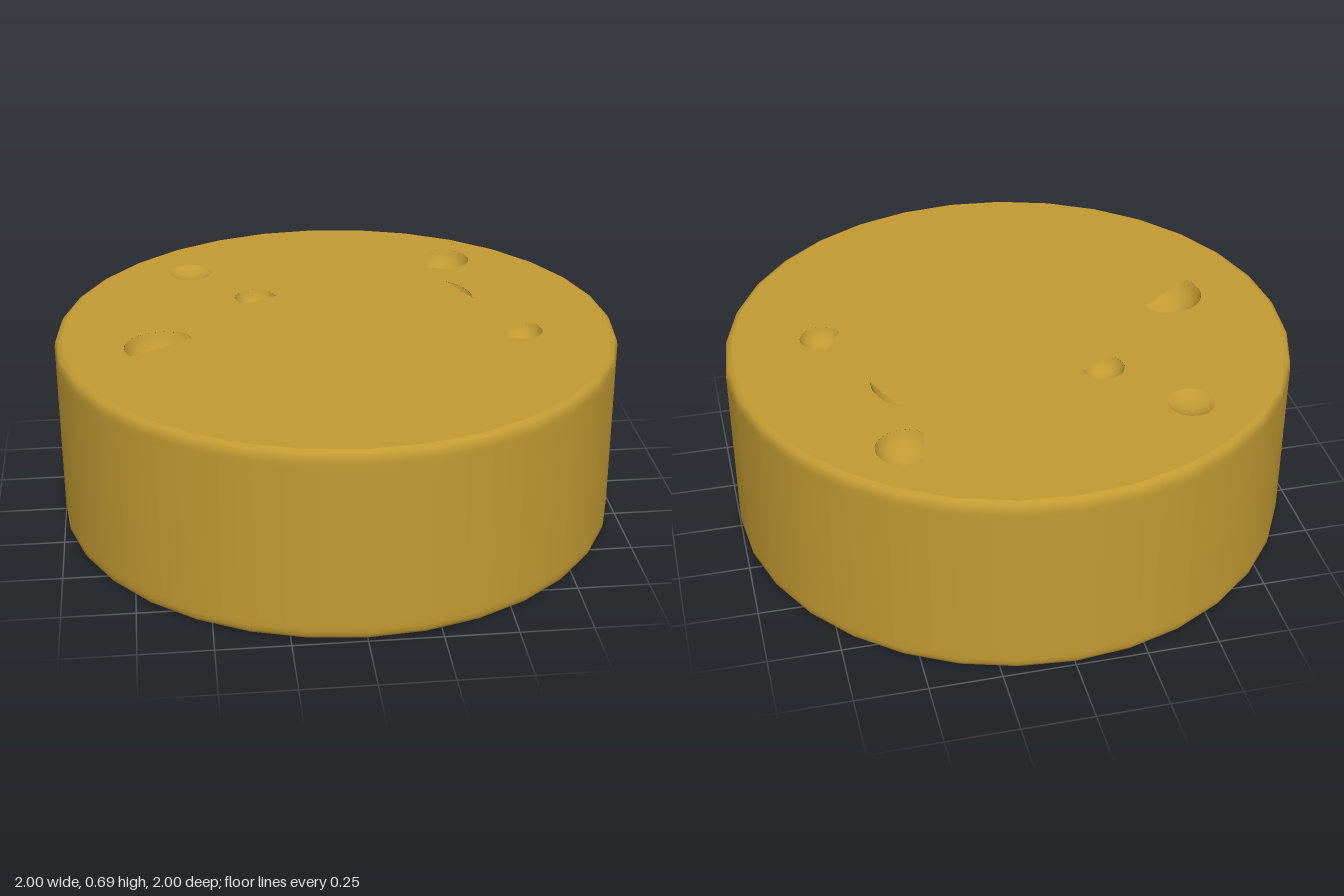
import * as THREE from 'three';

const H = 0.69;          // wheel height
const SIDES = 32;
const RIM = 0.975;       // radius of the flat faces
const rad = THREE.MathUtils.degToRad;

// Dents: x, z, radius, depth; open = arc in degrees left uncovered on the top
// (the rest is cut off by a straight edge), closed = not showing on the top.
const dents = [
  { x: 0.48, z: -0.60, r: 0.10, d: 0.08, open: [-113, 137] },
  { x: 0.34, z: -0.22, r: 0.19, d: 0.14, open: [-53, 6] },
  { x: 0.65, z: 0.115, r: 0.075, d: 0.06, open: [-98, 159] },
  { x: 0.02, z: -0.02, r: 0.034, d: 0.03, closed: true },
  { x: -0.27, z: -0.29, r: 0.075, d: 0.06, open: [129, 356] },
  { x: -0.50, z: -0.565, r: 0.08, d: 0.025 },
  { x: -0.625, z: 0.125, r: 0.13, d: 0.10, open: [144, 329] },
  { x: 0.26, z: 0.57, r: 0.10, d: 0.08, closed: true },
  { x: -0.27, z: 0.445, r: 0.062, d: 0.05, closed: true },
];

// Points of an arc in the x-z plane, flipped to the drawing plane of a face
function arc(x, z, r, from, to, n, side) {
  return Array.from({ length: n + 1 }, (_, i) => {
    const a = rad(from + (to - from) * i / n);
    return new THREE.Vector2(x + r * Math.cos(a), -side * (z + r * Math.sin(a)));
  });
}

// Bowl of a dent: a spherical cap seen from its hollow side
function bowl({ r, d }) {
  const R = (r * r + d * d) / (2 * d);
  const end = Math.asin(Math.min(1, r / R));
  const profile = [];
  for (let i = 0; i <= 8; i++) {
    const a = end * (1 - i / 8);
    profile.push(new THREE.Vector2(R * Math.sin(a), R - d - R * Math.cos(a)));
  }
  return new THREE.LatheGeometry(profile, 24);
}

export function createModel() {
  const group = new THREE.Group();
  group.name = 'cheeseWheel';
  const material = new THREE.MeshStandardMaterial({ color: 0xc29a32 });
  const add = (geometry, name, parent = group) => {
    const mesh = new THREE.Mesh(geometry, material);
    mesh.name = name;
    parent.add(mesh);
    return mesh;
  };

  // Side wall with softly rounded edges
  const lower = [[RIM, 0], [0.99, 0.008], [0.998, 0.022], [1, 0.04], [1, 0.06]];
  const upper = lower.map(([r, y]) => [r, H - y]).reverse();
  const profile = [...lower, ...upper].map(([r, y]) => new THREE.Vector2(r, y));
  add(new THREE.LatheGeometry(profile, SIDES), 'sideWall');

  // Flat faces with openings, and the dents behind them
  for (const side of [1, -1]) {
    const label = side > 0 ? 'top' : 'bottom';
    const y = side > 0 ? H : 0;
    const face = new THREE.Shape(arc(0, 0, RIM, 0, 360, SIDES, side).slice(0, -1));
    const dentGroup = new THREE.Group();
    dentGroup.name = label + 'Dents';
    group.add(dentGroup);

    for (const dent of dents) {
      if (side > 0 && dent.closed) continue;
      const cut = side > 0 && dent.open;
      const [from, to] = cut ? dent.open : [0, 360];
      const rim = arc(dent.x, dent.z, dent.r, from, to, 24, side);
      face.holes.push(new THREE.Path(cut ? rim : rim.slice(0, -1)));
      const mesh = add(bowl(dent), label + 'Dent', dentGroup);
      mesh.position.set(dent.x, y, dent.z);
      if (side < 0) mesh.rotation.x = Math.PI;
    }

    const geometry = new THREE.ShapeGeometry(face);
    geometry.rotateX(-side * Math.PI / 2).translate(0, y, 0);
    add(geometry, label + 'Face');
  }
  return group;
}
